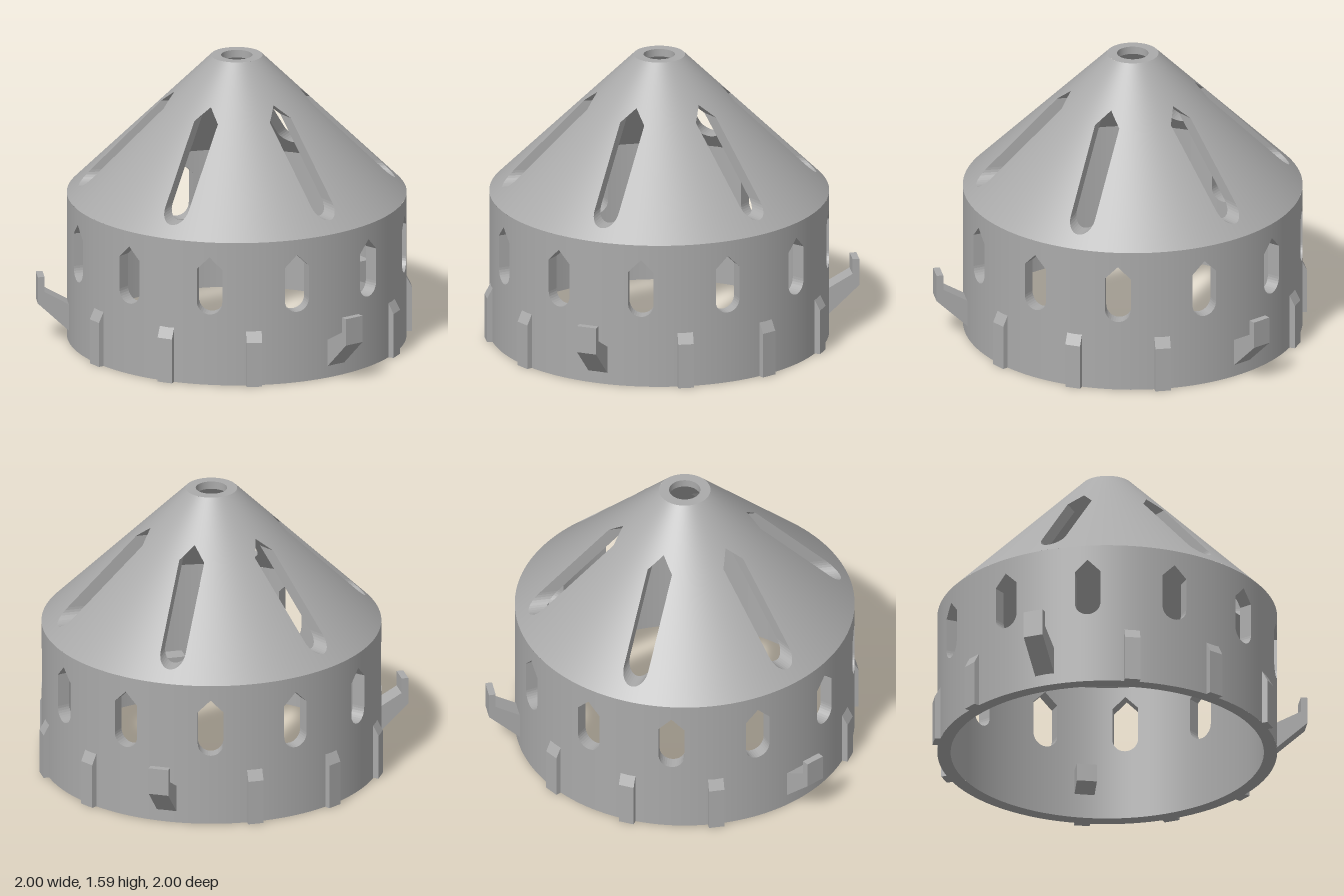
import * as THREE from 'three';
import { mergeGeometries } from 'three/addons/utils/BufferGeometryUtils.js';

const R_OUT = 0.922, R_IN = 0.85, W = 0.07; // shell radii, slot half width

const polar = (R, theta, y) =>
  new THREE.Vector3(R(y) * Math.cos(theta), y, -R(y) * Math.sin(theta));
const lerp = THREE.MathUtils.lerp;

// One wall panel centred on +x, pierced by a radial slot with a round foot and a pointed head
function panel({ outer, inner, half, foot, tip, slope, cols, rows }) {
  const pos = [], nor = [];
  const emit = (pts, normalOf) => {
    const flat = pts[1].clone().sub(pts[0]).cross(pts[2].clone().sub(pts[0])).normalize();
    for (const i of [0, 1, 2, 0, 2, 3]) {
      pos.push(...pts[i].toArray());
      nor.push(...(normalOf ? normalOf(pts[i]) : flat).toArray());
    }
  };
  const lo = t => foot + W - Math.sqrt(Math.max(0, W * W - t * t));
  const hi = t => tip - Math.abs(t);
  const N = 16, ts = [];
  for (let k = 0; k <= N; k++) ts.push(k === N / 2 ? 0 : -W * Math.cos(Math.PI * k / N));
  const yA = lo(W), yB = hi(W), sideY = [];
  for (let k = 0; k <= rows; k++) sideY.push(lerp(yA, yB, k / rows));

  for (const [surf, dir] of [[outer, 1], [inner, -1]]) {
    const { R, y0, y1 } = surf;
    const normalOf = p => new THREE.Vector3(p.x, 0, p.z).normalize()
      .setY(slope).normalize().multiplyScalar(dir);
    const face = (a, b, c, d) => emit(dir > 0 ? [a, b, c, d] : [d, c, b, a], normalOf);
    const th = (t, y) => Math.asin(t / R(y));
    // strips below and above the slot
    for (let k = 0; k < N; k++) {
      const s = ts[k], t = ts[k + 1];
      const a = th(s, lo(s)), b = th(t, lo(t)), c = th(s, hi(s)), d = th(t, hi(t));
      face(polar(R, a, y0), polar(R, b, y0), polar(R, b, lo(t)), polar(R, a, lo(s)));
      face(polar(R, c, hi(s)), polar(R, d, hi(t)), polar(R, d, y1), polar(R, c, y1));
    }
    // solid wall on both sides of the slot
    const ys = [y0, ...sideY, y1];
    const edge = y => th(W, THREE.MathUtils.clamp(y, yA, yB));
    for (let j = 0; j < ys.length - 1; j++) for (let i = 0; i < cols; i++) {
      const p = (q, y, m) => polar(R, m * lerp(edge(y), half, q / cols), y);
      const u = ys[j], v = ys[j + 1];
      face(p(i, u, 1), p(i + 1, u, 1), p(i + 1, v, 1), p(i, v, 1));
      face(p(i + 1, u, -1), p(i, u, -1), p(i, v, -1), p(i + 1, v, -1));
    }
  }

  // slot linings through the wall thickness
  const O = (t, y) => polar(outer.R, Math.asin(t / outer.R(y)), y);
  const I = (t, y) => polar(inner.R, Math.asin(t / inner.R(y)), y);
  for (let k = 0; k < N; k++) {
    const s = ts[k], t = ts[k + 1];
    emit([O(s, lo(s)), O(t, lo(t)), I(t, lo(t)), I(s, lo(s))]);
    emit([I(s, hi(s)), I(t, hi(t)), O(t, hi(t)), O(s, hi(s))]);
  }
  for (let k = 0; k < rows; k++) {
    const u = sideY[k], v = sideY[k + 1];
    emit([O(-W, u), I(-W, u), I(-W, v), O(-W, v)]);
    emit([O(W, v), I(W, v), I(W, u), O(W, u)]);
  }
  const g = new THREE.BufferGeometry();
  g.setAttribute('position', new THREE.Float32BufferAttribute(pos, 3));
  g.setAttribute('normal', new THREE.Float32BufferAttribute(nor, 3));
  return g;
}

// Copies of a panel around the axis, starting at a given angle
const ringOf = (g, count, startDeg) => mergeGeometries(Array.from({ length: count }, (_, i) =>
  g.clone().rotateY(THREE.MathUtils.degToRad(startDeg) + i * 2 * Math.PI / count)));

// Radial profile (r, y) extruded across a given width, pointing along +x
function bracket(points, width) {
  const shape = new THREE.Shape(points.map(p => new THREE.Vector2(...p)));
  return new THREE.ExtrudeGeometry(shape, { depth: width, bevelEnabled: false })
    .translate(0, 0, -width / 2);
}

export function createModel() {
  const grey = new THREE.MeshStandardMaterial({ color: 0xaaaaaa });
  grey.name = 'plain grey';
  const model = new THREE.Group();
  model.name = 'slottedConeCap';
  const add = (name, geometry, deg = 0) => {
    const mesh = new THREE.Mesh(geometry, grey);
    mesh.name = name;
    mesh.rotation.y = THREE.MathUtils.degToRad(deg);
    mesh.position.set(0.068, 0, 0.068);
    model.add(mesh);
  };

  // cylindrical skirt with twelve short slots
  add('skirt', ringOf(panel({
    outer: { R: () => R_OUT, y0: 0, y1: 0.81 },
    inner: { R: () => R_IN, y0: 0, y1: 0.782 },
    half: Math.PI / 12, foot: 0.4, tip: 0.725, slope: 0, cols: 4, rows: 1,
  }), 12, 0));

  // cone with six long slots
  add('cone', ringOf(panel({
    outer: { R: y => R_OUT - (y - 0.81) * 0.782 / 0.78, y0: 0.81, y1: 1.59 },
    inner: { R: y => R_IN - (y - 0.782), y0: 0.782, y1: 1.547 },
    half: Math.PI / 6, foot: 0.87, tip: 1.39, slope: 1, cols: 10, rows: 10,
  }), 6, 15));

  // flat rims and the bore at the top
  const lathe = (...pts) => new THREE.LatheGeometry(pts.map(p => new THREE.Vector2(...p)), 96);
  add('bottomRim', lathe([R_IN, 0], [R_OUT, 0]));
  add('topRim', lathe([0.14, 1.59], [0.085, 1.59]));
  add('topBore', lathe([0.085, 1.59], [0.085, 1.547]));

  // outer ribs, with a hook in place of every fourth one
  const rib = bracket([[0.9, 0], [0.952, 0], [0.952, 0.25], [0.92, 0.31], [0.9, 0.31]], 0.085);
  const hook = bracket([[0.89, 0.065], [0.92, 0.065], [1.09, 0.225], [1.09, 0.375],
    [1.053, 0.375], [1.053, 0.29], [0.92, 0.215], [0.89, 0.2]], 0.11);
  for (let i = 0; i < 12; i++) {
    const isHook = i % 4 === 2;
    add(isHook ? 'hook' : 'rib', isHook ? hook : rib, 15 + i * 30);
  }

  // inner catches
  const catchPeg = bracket([[0.87, 0.13], [0.76, 0.18], [0.76, 0.28], [0.87, 0.28]], 0.11);
  for (const deg of [45, 165, 285]) add('innerCatch', catchPeg, deg);

  return model;
}
